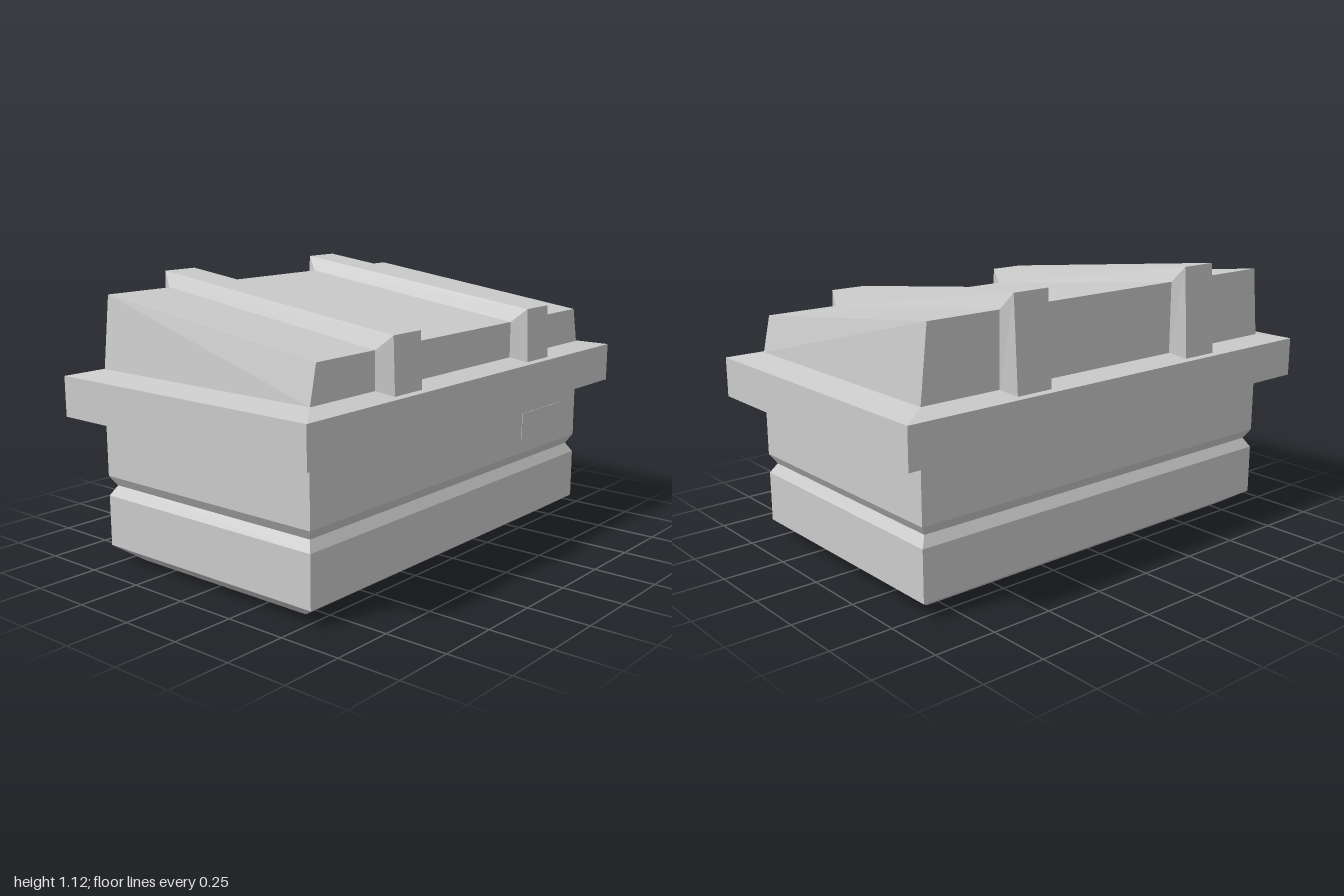
import * as THREE from 'three';

const material = new THREE.MeshStandardMaterial({ color: 0xcccccc, flatShading: true });

// Skin a list of equal-length point rings with flat faces
function loft(rings, { closed = true, capStart = false, capEnd = false } = {}) {
  const pos = [];
  const tri = (a, b, c) => pos.push(...a, ...b, ...c);
  const n = rings[0].length;
  for (let r = 0; r < rings.length - 1; r++) {
    for (let i = 0; i < (closed ? n : n - 1); i++) {
      const j = (i + 1) % n;
      const a = rings[r][i], b = rings[r][j], c = rings[r + 1][j], d = rings[r + 1][i];
      // the left side mirrors the diagonal of the right side
      if (i === 2) { tri(a, b, d); tri(b, c, d); }
      else { tri(a, b, c); tri(a, c, d); }
    }
  }
  const cap = (q) => { tri(q[0], q[1], q[2]); tri(q[0], q[2], q[3]); };
  if (capStart) cap([...rings[0]].reverse());
  if (capEnd) cap(rings[rings.length - 1]);
  const geo = new THREE.BufferGeometry();
  geo.setAttribute('position', new THREE.Float32BufferAttribute(pos, 3));
  geo.computeVertexNormals();
  return geo;
}

// Rectangle at a height; the front and back edges may differ in height
const rect = (hx, hz, yFront, yBack = yFront) => [
  [hx, yFront, hz], [hx, yBack, -hz], [-hx, yBack, -hz], [-hx, yFront, hz],
];

export function createModel() {
  const group = new THREE.Group();
  const add = (name, geo) => {
    const mesh = new THREE.Mesh(geo, material);
    mesh.name = name;
    group.add(mesh);
    return mesh;
  };

  // Crate body: bevelled foot and a V groove around the middle
  add('body', loft([
    rect(0.80, 0.43, 0),
    rect(0.885, 0.53, 0.065),
    rect(0.885, 0.53, 0.27),
    rect(0.86, 0.507, 0.31),
    rect(0.885, 0.53, 0.35),
    rect(0.885, 0.53, 0.565),
  ], { capStart: true }));

  // Wide rim with sloped underside and top
  add('rim', loft([
    rect(0.885, 0.53, 0.565),
    rect(1, 0.623, 0.595),
    rect(1, 0.623, 0.755),
    rect(0.88, 0.53, 0.775),
  ]));

  // Wedge lid, higher at the back
  add('lid', loft([
    rect(0.88, 0.53, 0.775),
    rect(0.848, 0.53, 0.92, 1.06),
  ], { capEnd: true }));

  // Two bevelled straps wrapped over the lid
  const inner = [[0.775, 0.53], [0.92, 0.53], [1.06, -0.53], [0.775, -0.53]];
  const outer = [[0.757, 0.6], [0.975, 0.592], [1.122, -0.578], [0.757, -0.6]];
  const station = (x, profile) => profile.map(([y, z]) => [x, y, z]);
  const strap = loft([
    station(0.103, inner), station(0.079, outer),
    station(-0.079, outer), station(-0.103, inner),
  ], { closed: false });
  for (const side of [1, -1]) {
    add(side > 0 ? 'leftStrap' : 'rightStrap', strap).position.x = side * 0.437;
  }

  // Small label plate on the front
  const plate = add('labelPlate', new THREE.BoxGeometry(0.315, 0.125, 0.004));
  plate.position.set(0.603, 0.458, 0.53);

  return group;
}
